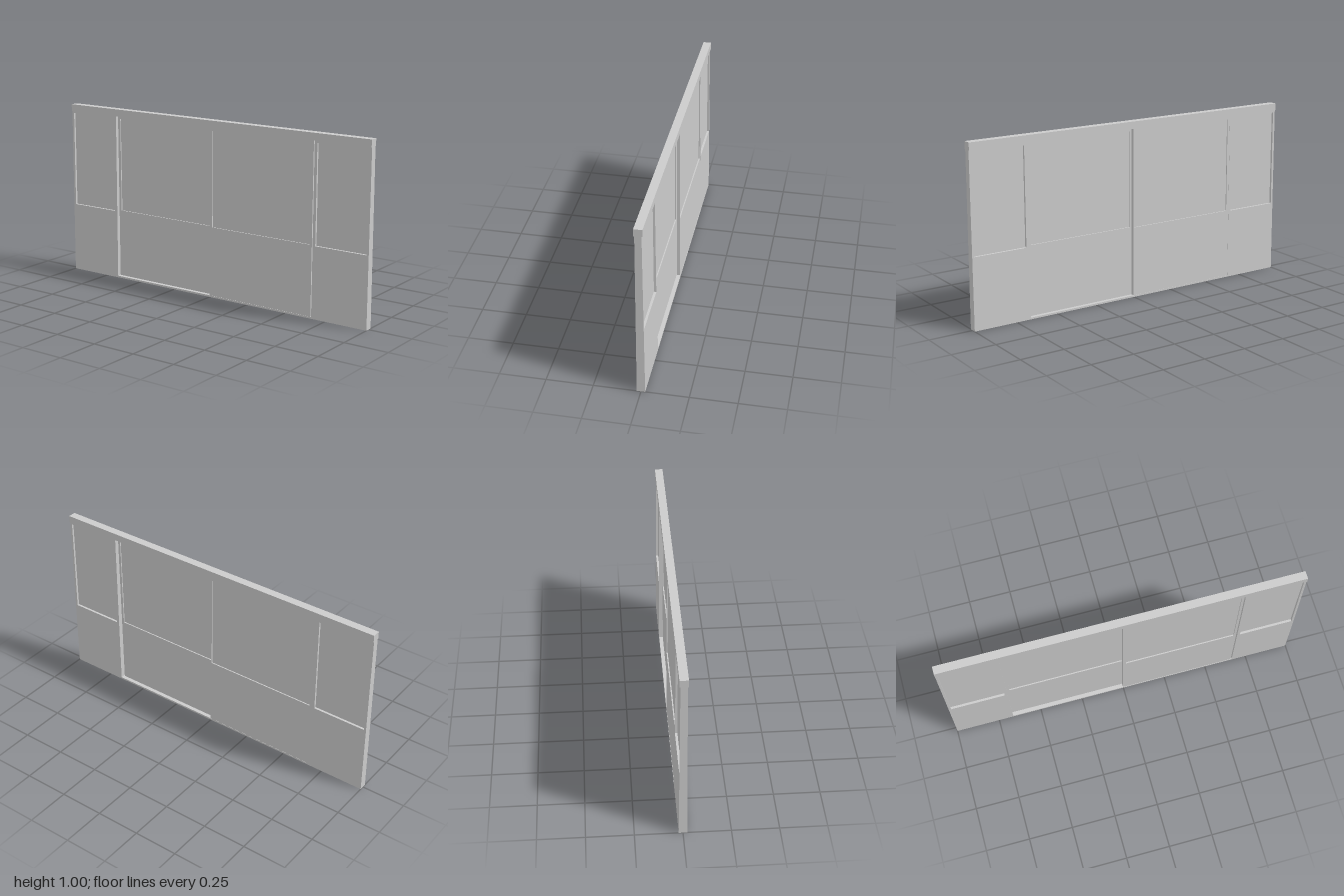
import * as THREE from 'three';

const HEAD_Y = 0.96, SILL_Y = 0.01, HALF = 0.022;
const material = new THREE.MeshStandardMaterial({ color: 0xcccccc, flatShading: true });

// The wall thins slightly towards the top
function taper(geometry) {
  const p = geometry.attributes.position;
  for (let i = 0; i < p.count; i++) p.setZ(i, p.getZ(i) * (1 - 0.2 * p.getY(i) / HEAD_Y));
  geometry.computeVertexNormals();
  return geometry;
}

function box(name, x0, x1, y0, y1, z0, z1) {
  const g = new THREE.BoxGeometry(x1 - x0, y1 - y0, z1 - z0);
  g.translate((x0 + x1) / 2, (y0 + y1) / 2, (z0 + z1) / 2);
  const mesh = new THREE.Mesh(g, material);
  mesh.name = name;
  return mesh;
}

// Rectangular panel with a window opening and a recessed pane
function windowPanel(name, [x0, x1, y0, y1], [a0, a1, b0, b1], z0, z1, recess) {
  const group = new THREE.Group();
  group.name = name;
  const shape = new THREE.Shape();
  shape.moveTo(x0, y0).lineTo(x1, y0).lineTo(x1, y1).lineTo(x0, y1).closePath();
  const hole = new THREE.Path();
  hole.moveTo(a0, b0).lineTo(a0, b1).lineTo(a1, b1).lineTo(a1, b0).closePath();
  shape.holes.push(hole);
  const g = new THREE.ExtrudeGeometry(shape, { depth: z1 - z0, bevelEnabled: false });
  g.translate(0, 0, z0);
  const frame = new THREE.Mesh(taper(g), material);
  frame.name = name + 'Frame';
  const pane = box(name + 'Pane', a0, a1, b0, b1, z0 + recess, z1 - recess);
  taper(pane.geometry);
  group.add(frame, pane);
  return group;
}

export function createModel() {
  const model = new THREE.Group();
  model.name = 'slidingDoorWall';

  // Beam over the top and threshold under the doors
  model.add(box('header', -1, 1, HEAD_Y, 1, -0.0225, 0.0225));
  model.add(box('threshold', -0.666, 0.666, 0, SILL_Y, -HALF, HALF));

  // Fixed side panels
  for (const [name, s] of [['leftSidePanel', 1], ['rightSidePanel', -1]]) {
    const span = (a, b) => [s * a, s * b].sort((p, q) => p - q);
    model.add(windowPanel(name, [...span(0.666, 1), 0, HEAD_Y],
      [...span(0.682, 0.987), 0.4, 0.948], -HALF, HALF, 0.014));
  }

  // Two sliding doors on separate tracks: one at the back, one at the front
  model.add(windowPanel('rightDoor', [-0.666, 0.002, SILL_Y, HEAD_Y],
    [-0.65, -0.004, 0.403, 0.942], -0.021, -0.001, 0.007));
  model.add(windowPanel('leftDoor', [-0.002, 0.66, SILL_Y, HEAD_Y],
    [0.016, 0.646, 0.403, 0.942], 0, 0.02, 0.007));

  return model;
}
